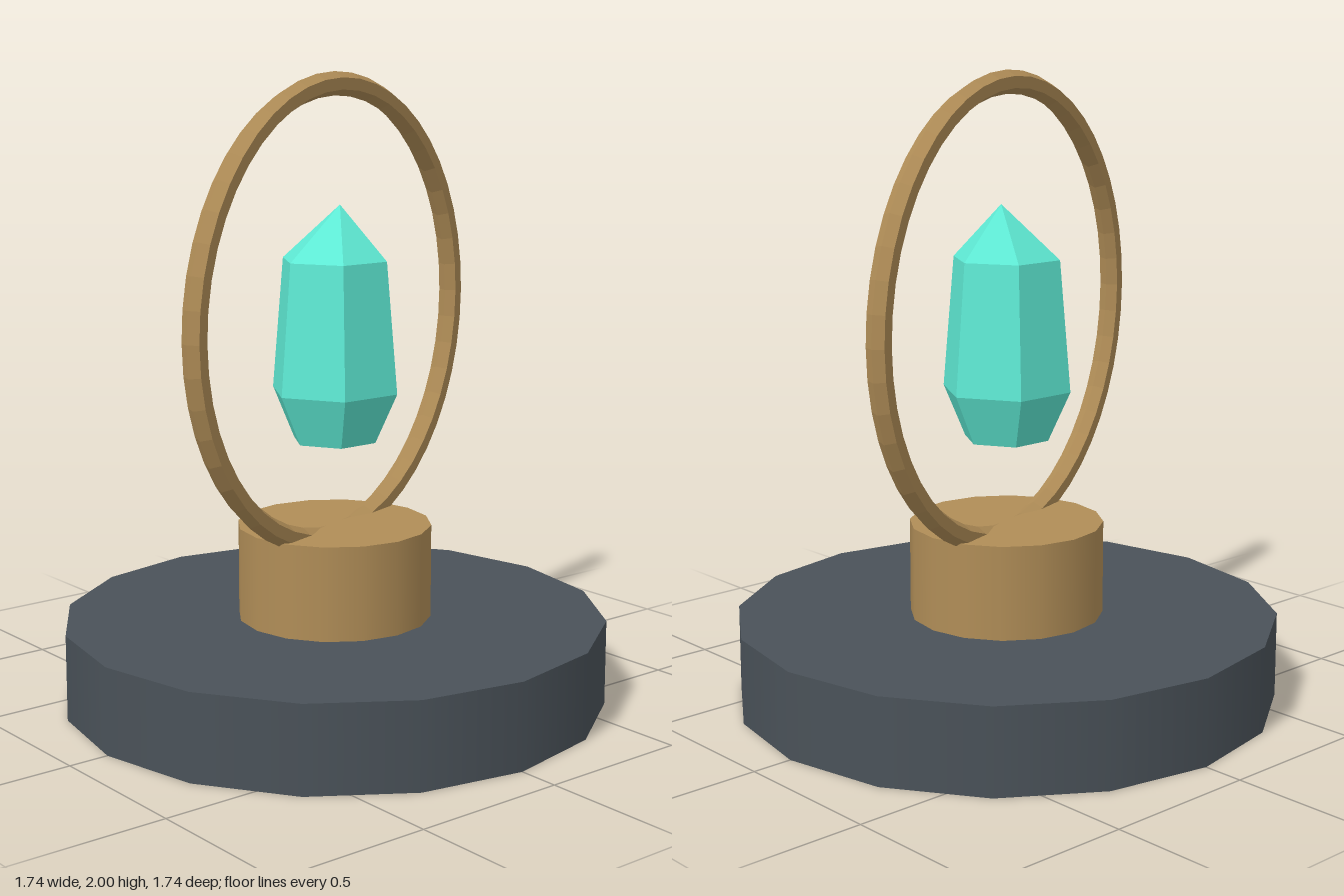
import * as THREE from 'three';

export function createModel() {
  const model = new THREE.Group();
  const slate = new THREE.MeshStandardMaterial({ color: 0x4a5259 });
  const brass = new THREE.MeshStandardMaterial({ color: 0xb08d57 });
  const brassFaceted = new THREE.MeshStandardMaterial({ color: 0xb08d57, flatShading: true });
  const gem = new THREE.MeshStandardMaterial({ color: 0x5eead4, flatShading: true });

  function add(name, geometry, material, y) {
    const mesh = new THREE.Mesh(geometry, material);
    mesh.name = name;
    mesh.position.y = y;
    model.add(mesh);
    return mesh;
  }

  // Sixteen-sided plinth and the collar standing on it
  const baseHeight = 0.275, collarHeight = 0.3;
  add('base', new THREE.CylinderGeometry(0.87, 0.87, baseHeight, 16), slate, baseHeight / 2);
  add('collar', new THREE.CylinderGeometry(0.31, 0.31, collarHeight, 16), brass, baseHeight + collarHeight / 2);

  // Upright hoop sunk into the collar, turned a little about the vertical
  const ring = add('ring', new THREE.TorusGeometry(0.714, 0.037, 6, 48), brassFaceted, 1.249);
  ring.rotation.y = 0.3;

  // Floating six-sided crystal: flat foot, widening belt, tapering body, point
  const profile = [[0, 0.845], [0.138, 0.845], [0.21, 1.005], [0.174, 1.42], [0, 1.59]]
    .map(([r, y]) => new THREE.Vector2(r, y));
  const crystal = new THREE.LatheGeometry(profile, 6, Math.PI / 2);
  // The point leans slightly off centre
  const pos = crystal.attributes.position;
  for (let i = 0; i < pos.count; i++) {
    if (pos.getY(i) > 1.5) pos.setX(i, 0.022);
  }
  add('crystal', crystal, gem, 0);

  return model;
}
